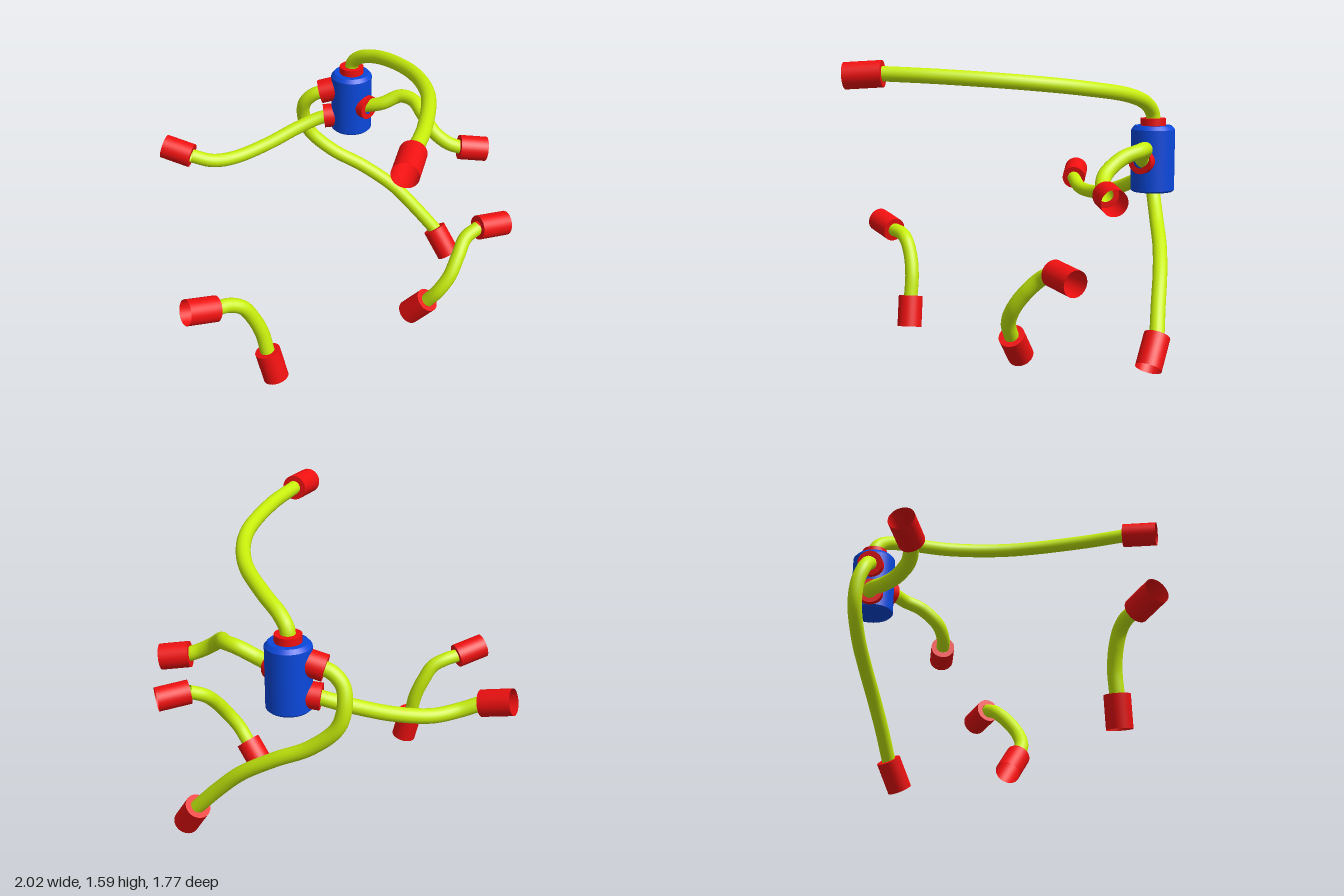
import * as THREE from 'three';

const yellow = new THREE.MeshStandardMaterial({ color: 0xc8ee0c, side: THREE.DoubleSide });
const red = new THREE.MeshStandardMaterial({ color: 0xf01010, side: THREE.DoubleSide });
const blue = new THREE.MeshStandardMaterial({ color: 0x0a48dc });

const HOSE_R = 0.039;
const FIT_R = 0.069;
const UP = new THREE.Vector3(0, 1, 0);
const vec = (p) => new THREE.Vector3(...p);

// Lathe whose profile corners stay sharp
function turned(profile, material, segments = 32) {
  const group = new THREE.Group();
  for (let i = 0; i < profile.length - 1; i++) {
    const pts = [profile[i], profile[i + 1]].map(([r, y]) => new THREE.Vector2(r, y));
    group.add(new THREE.Mesh(new THREE.LatheGeometry(pts, segments), material));
  }
  return group;
}

// Sleeve from the hose end to its outer end: open outside, collar ring around the hose
function fitting(from, to, name, closed) {
  const a = vec(from), b = vec(to);
  const len = a.distanceTo(b);
  const profile = [[HOSE_R * 0.95, 0], [FIT_R, 0], [FIT_R, len]];
  if (closed) profile.push([0, len]);
  const g = turned(profile, red);
  g.position.copy(a);
  g.quaternion.setFromUnitVectors(UP, b.sub(a).normalize());
  g.name = name;
  g.children.forEach((m) => { m.name = name; });
  return g;
}

function hose(points, name) {
  const curve = new THREE.CatmullRomCurve3(points.map(vec), false, 'centripetal');
  const mesh = new THREE.Mesh(new THREE.TubeGeometry(curve, 72, HOSE_R, 20, false), yellow);
  mesh.name = name;
  return mesh;
}

export function createModel() {
  const model = new THREE.Group();

  // Tank with bevelled rims
  const tank = turned([[0, 0.868], [0.108, 0.868], [0.118, 0.878], [0.118, 1.205], [0.1, 1.226], [0, 1.226]], blue, 40);
  tank.position.set(0.094, 0, -0.765);
  tank.name = 'tank';
  tank.children.forEach((m) => { m.name = 'tank'; });
  model.add(tank);

  // Ports on the tank: collar (outer end) first, then a point inside the tank
  const ports = [
    [[0.094, 1.265, -0.765], [0.094, 1.2, -0.765], 'topPort'],
    [[-0.088, 1.098, -0.765], [0.03, 1.13, -0.765], 'upperSidePort'],
    [[-0.067, 0.94, -0.76], [0.03, 0.95, -0.765], 'lowerSidePort'],
    [[0.199, 1.042, -0.672], [0.124, 1.042, -0.738], 'frontPort'],
  ];
  ports.forEach(([a, b, n]) => model.add(fitting(a, b, n, true)));

  // Hose routes
  const hoses = {
    topHose: [
      [0.094, 1.24, -0.765], [0.1, 1.29, -0.76], [0.145, 1.344, -0.72], [0.25, 1.396, -0.61], [0.41, 1.443, -0.35],
      [0.49, 1.48, -0.017], [0.457, 1.51, 0.41], [0.39, 1.522, 0.69],
    ],
    upperSideHose: [
      [-0.06, 1.105, -0.765], [-0.125, 1.078, -0.77], [-0.178, 1.02, -0.785], [-0.192, 0.93, -0.812],
      [-0.16, 0.81, -0.825], [-0.02, 0.68, -0.817], [0.17, 0.58, -0.795], [0.355, 0.46, -0.76],
      [0.49, 0.33, -0.725], [0.62, 0.188, -0.693],
    ],
    lowerSideHose: [
      [-0.03, 0.944, -0.762], [-0.1, 0.925, -0.757], [-0.22, 0.882, -0.72], [-0.4, 0.815, -0.636],
      [-0.585, 0.775, -0.545], [-0.71, 0.787, -0.485], [-0.83, 0.831, -0.464],
    ],
    frontHose: [
      [0.17, 1.042, -0.697], [0.27, 1.075, -0.667], [0.38, 1.125, -0.665], [0.45, 1.122, -0.62], [0.5, 1.09, -0.52],
      [0.565, 1.02, -0.428], [0.645, 0.965, -0.401], [0.715, 0.936, -0.406],
    ],
    rightFloorHose: [
      [-0.34, 0.21, 0.548], [-0.367, 0.33, 0.539], [-0.41, 0.432, 0.545], [-0.46, 0.515, 0.566],
      [-0.525, 0.55, 0.595], [-0.595, 0.562, 0.642],
    ],
    leftFloorHose: [
      [0.535, 0.185, 0.044], [0.595, 0.27, 0.066], [0.655, 0.358, 0.047], [0.7, 0.45, -0.01],
      [0.745, 0.53, -0.085], [0.82, 0.57, -0.135],
    ],
  };
  for (const [n, pts] of Object.entries(hoses)) model.add(hose(pts, n));

  // End sleeves: hose side, then open outer end
  const sleeves = [
    [[0.39, 1.522, 0.682], [0.347, 1.51, 0.875], 'topHoseSleeve'],
    [[0.615, 0.193, -0.695], [0.705, 0.047, -0.634], 'upperSideHoseSleeve'],
    [[-0.824, 0.829, -0.465], [-0.985, 0.87, -0.503], 'lowerSideHoseSleeve'],
    [[0.708, 0.937, -0.406], [0.862, 0.916, -0.424], 'frontHoseSleeve'],
    [[-0.34, 0.214, 0.548], [-0.297, 0.043, 0.558], 'rightFloorLowerSleeve'],
    [[-0.59, 0.56, 0.638], [-0.735, 0.6, 0.73], 'rightFloorUpperSleeve'],
    [[0.538, 0.19, 0.045], [0.438, 0.06, -0.012], 'leftFloorLowerSleeve'],
    [[0.815, 0.57, -0.133], [0.98, 0.548, -0.22], 'leftFloorUpperSleeve'],
  ];
  sleeves.forEach(([a, b, n]) => model.add(fitting(a, b, n, false)));

  return model;
}
